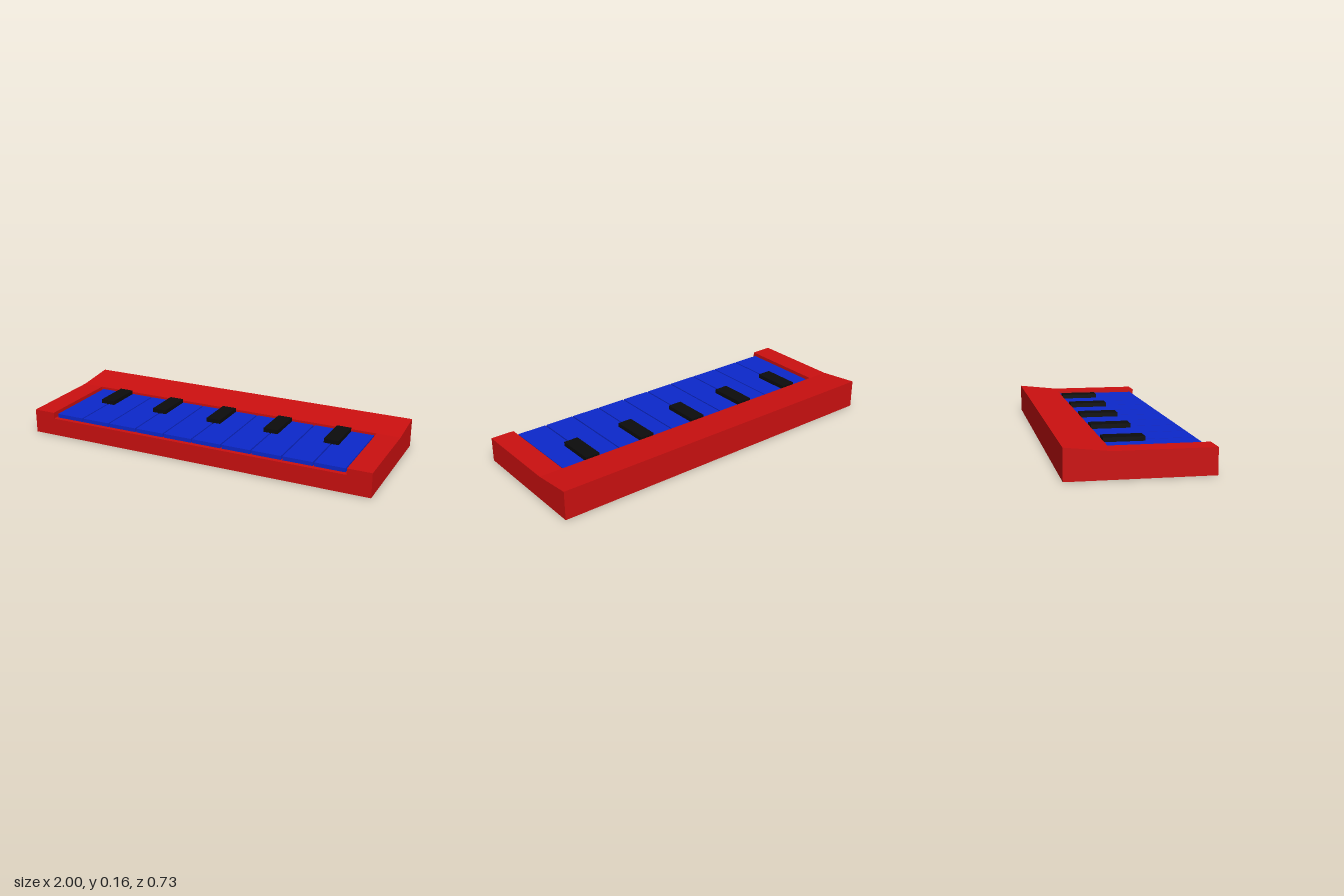
import * as THREE from 'three';

const material = (color) => new THREE.MeshStandardMaterial({ color });

export function createModel() {
  const group = new THREE.Group();
  const red = material(0xcc1010);
  const blue = material(0x0c28cc);
  const black = material(0x0c0c0c);

  // Casing pieces: a (z, y) side profile swept from x0 to x1
  const sweep = (name, profile, x0, x1) => {
    const shape = new THREE.Shape(profile.map(([z, y]) => new THREE.Vector2(z, y)));
    const geometry = new THREE.ExtrudeGeometry(shape, { depth: x1 - x0, bevelEnabled: false });
    geometry.rotateY(-Math.PI / 2).translate(x1, 0, 0);
    const mesh = new THREE.Mesh(geometry, red);
    mesh.name = name;
    group.add(mesh);
  };

  // Box given by its limits on each axis
  const box = (name, mat, [x0, x1], [y0, y1], [z0, z1]) => {
    const mesh = new THREE.Mesh(new THREE.BoxGeometry(x1 - x0, y1 - y0, z1 - z0), mat);
    mesh.position.set((x0 + x1) / 2, (y0 + y1) / 2, (z0 + z1) / 2);
    mesh.name = name;
    group.add(mesh);
  };

  const depth = 0.366, top = 0.135, backTop = 0.16, floor = 0.1, slopeZ = -0.137;
  const left = -0.875, right = 0.869;

  // Cheeks at both ends, and the middle with its key bed open to the front
  const back = [[slopeZ, top], [-depth, backTop], [-depth, 0]];
  const cheek = [[depth, 0], [depth, top], ...back];
  const bed = [[depth, 0], [depth, floor], [slopeZ, floor], ...back];
  sweep('rightCheek', cheek, -1, left);
  sweep('keyBed', bed, left, right);
  sweep('leftCheek', cheek, right, 1);

  // Ten wide keys, with a raised key over every second joint
  const pitch = 0.1727, start = -0.868, gap = 0.004;
  for (let i = 0; i < 10; i++) {
    const x = start + i * pitch;
    box('naturalKey', blue, [x + gap, x + pitch - gap], [floor, 0.122], [slopeZ, 0.34]);
    if (i % 2 === 0) {
      const c = x + pitch;
      box('raisedKey', black, [c - 0.041, c + 0.041], [floor + 0.001, 0.145], [-0.133, 0.077]);
    }
  }
  return group;
}
